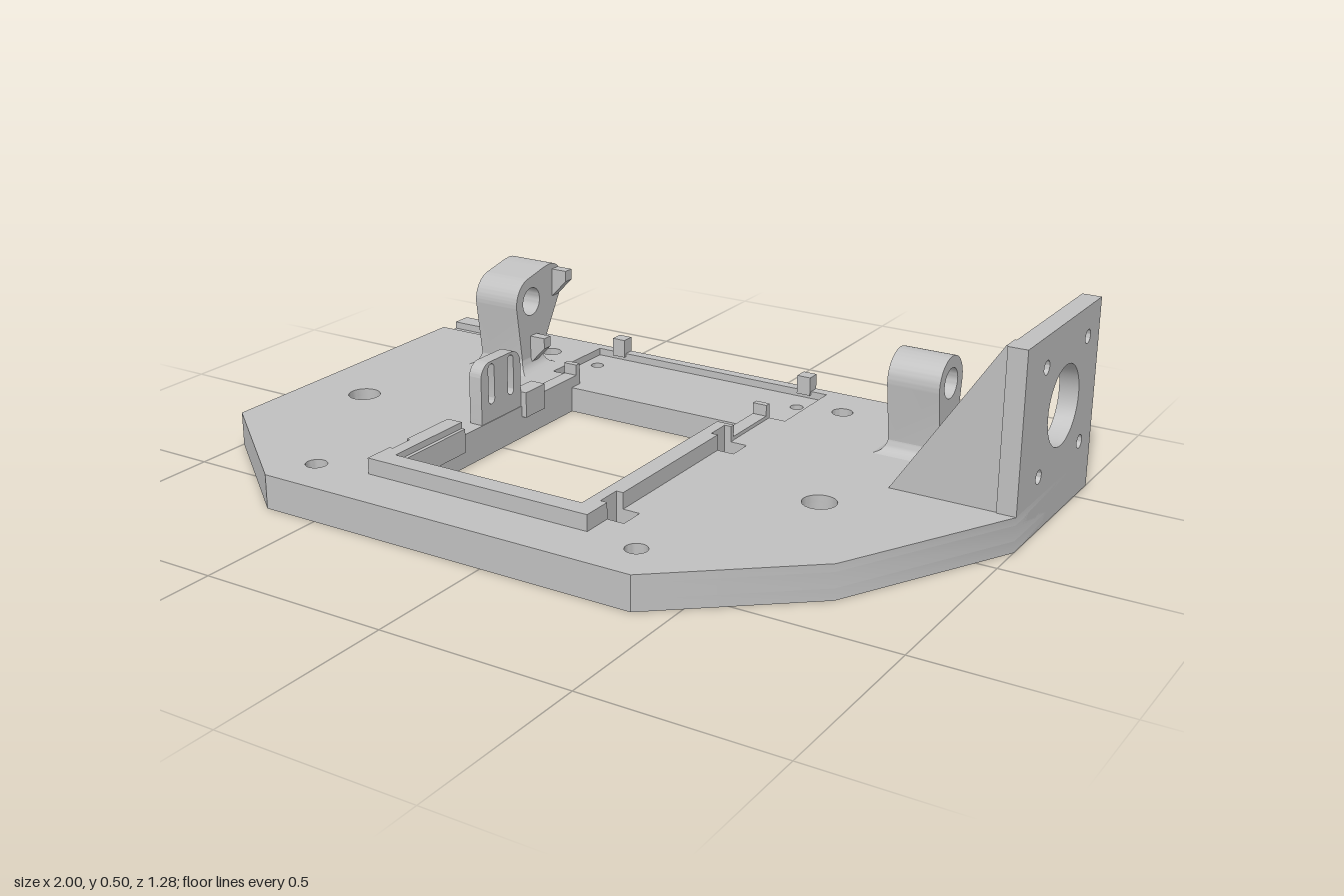
import * as THREE from 'three';
import { toCreasedNormals } from 'three/addons/utils/BufferGeometryUtils.js';

const gray = new THREE.MeshStandardMaterial({ color: 0xc0c0c0 });
gray.name = 'machined gray';

export function createModel() {
  const model = new THREE.Group();
  model.name = 'motorMountPlate';

  const add = (name, geo) => {
    const mesh = new THREE.Mesh(toCreasedNormals(geo, 0.5), gray);
    mesh.name = name;
    model.add(mesh);
  };
  const box = (name, x0, x1, y0, y1, z0, z1) => add(name,
    new THREE.BoxGeometry(x1 - x0, y1 - y0, z1 - z0)
      .translate((x0 + x1) / 2, (y0 + y1) / 2, (z0 + z1) / 2));
  const extrude = (shape, depth) =>
    new THREE.ExtrudeGeometry(shape, { depth, bevelEnabled: false, curveSegments: 20 });

  // Plan paths are given as [x, z] and reversed to run counter-clockwise
  const plan = (pts) => pts.map(([x, z]) => new THREE.Vector2(x, -z)).reverse();
  const rect = (a0, a1, b0, b1) => [[a0, b0], [a1, b0], [a1, b1], [a0, b1]];
  const circle = (x, y, r) => new THREE.Path().absarc(x, y, r, 0, Math.PI * 2, true);
  // Side shapes are drawn in (-z, y)
  const alongX = (name, shape, x0, x1) =>
    add(name, extrude(shape, x1 - x0).rotateY(Math.PI / 2).translate(x0, 0, 0));

  // Base plate in three layers, so that pockets and blind holes have floors
  const rightEdge = [[0.76, -0.45], [1, -0.45], [1, -0.1], [0.76, 0.35],
    [0.41, 0.64], [-0.65, 0.64], [-1, 0.35]];
  const solidOutline = [[-1, -0.64], [0.76, -0.64], ...rightEdge];
  const slottedOutline = [[-1, -0.64], [0.76, -0.64],
    [0.76, -0.585], [0.49, -0.585], [0.49, -0.525], [0.76, -0.525], ...rightEdge,
    [-1, -0.525], [-0.735, -0.525], [-0.735, -0.585], [-1, -0.585]];
  const window = rect(-0.4, 0.16, -0.33, 0.445);
  const windowAndPocket = [[-0.49, -0.61], [0.25, -0.61], [0.25, -0.37], [0.16, -0.37],
    [0.16, 0.445], [-0.4, 0.445], [-0.4, -0.37], [-0.49, -0.37]];
  const bolts = [[-0.818, 0.063, 0.043], [0.573, 0.063, 0.043], [-0.592, 0.518, 0.028],
    [0.348, 0.518, 0.028], [0.348, -0.51, 0.028], [-0.592, -0.51, 0.028]];
  const slotBolts = [[-0.87, -0.555, 0.028], [0.627, -0.555, 0.028]];
  const blind = [[-0.445, -0.528, 0.018], [0.202, -0.528, 0.018]];
  const layer = (name, outline, opening, holes, y0, y1) => {
    const shape = new THREE.Shape(plan(outline));
    shape.holes.push(new THREE.Path(plan(opening)));
    for (const [x, z, r] of holes) shape.holes.push(circle(x, -z, r));
    for (const x of [-0.495, 0.185])
      for (const z of [-0.163, 0.348])
        shape.holes.push(new THREE.Path(plan(rect(x, x + 0.065, z, z + 0.068))));
    add(name, extrude(shape, y1 - y0).rotateX(-Math.PI / 2).translate(0, y0, 0));
  };
  layer('plateBottom', solidOutline, window, [...bolts, ...slotBolts], 0, 0.03);
  layer('plateMiddle', solidOutline, window, [...bolts, ...slotBolts, ...blind], 0.03, 0.07);
  layer('plateTop', slottedOutline, windowAndPocket, bolts, 0.07, 0.09);

  // Raised rim around the window, notched beside the square holes
  const rim = new THREE.Shape(plan([[-0.44, 0.18], [-0.44, 0.348], [-0.43, 0.348],
    [-0.43, 0.416], [-0.44, 0.416], [-0.44, 0.5], [0.204, 0.5], [0.204, 0.416],
    [0.185, 0.416], [0.185, 0.348], [0.204, 0.348], [0.204, -0.095], [0.185, -0.095],
    [0.185, -0.163], [0.204, -0.163], [0.204, -0.177],
    [0.155, -0.177], [0.155, 0.448], [-0.395, 0.448], [-0.395, 0.18]]));
  add('windowRim', extrude(rim, 0.045).rotateX(-Math.PI / 2).translate(0, 0.087, 0));

  // Inner lip of the rim
  box('leftLip', -0.402, -0.385, 0.05, 0.115, 0.18, 0.45);
  box('rightLip', 0.14, 0.162, 0.05, 0.115, -0.177, 0.45);
  box('frontLip', -0.39, 0.15, 0.05, 0.115, 0.434, 0.45);

  // Low side rails, their end stops, and the posts at the back edge
  for (const x of [-0.44, 0.163]) {
    box('lowRail', x, x + 0.04, 0.06, 0.1, -0.37, -0.177);
    box('railStop', x, x + 0.04, 0.08, 0.13, -0.37, -0.352);
    box('backPost', x, x + 0.04, 0.08, 0.132, -0.64, -0.602);
  }
  box('leftRimBlock', -0.43, -0.385, 0.06, 0.131, -0.177, -0.09);

  // Slotted clip tab beside the window
  const tab = new THREE.Shape();
  tab.moveTo(-0.085, 0.08);
  tab.lineTo(0.09, 0.08);
  tab.lineTo(0.09, 0.215);
  tab.absarc(0.05, 0.215, 0.04, 0, Math.PI / 2, false);
  tab.absarc(-0.045, 0.215, 0.04, Math.PI / 2, Math.PI, false);
  for (const u of [-0.04, 0.045]) {
    const slot = new THREE.Path();
    slot.absarc(u, 0.235, 0.013, 0, Math.PI, false);
    slot.absarc(u, 0.15, 0.013, Math.PI, Math.PI * 2, false);
    tab.holes.push(slot);
  }
  alongX('clipTab', tab, -0.44, -0.402);

  // Upright motor plate with bore and four screw holes
  const motor = new THREE.Shape(
    rect(0.1, 0.585, 0, 0.5).map(([u, y]) => new THREE.Vector2(u, y)));
  motor.holes.push(circle(0.367, 0.284, 0.103));
  for (const u of [0.23, 0.505])
    for (const y of [0.146, 0.42]) motor.holes.push(circle(u, y, 0.018));
  alongX('motorPlate', motor, 0.95, 1);

  // Triangular gusset
  const gusset = new THREE.Shape();
  gusset.moveTo(0.67, 0.085);
  gusset.lineTo(0.955, 0.085);
  gusset.lineTo(0.955, 0.5);
  gusset.lineTo(0.945, 0.5);
  add('gusset', extrude(gusset, 0.052).translate(0, 0, -0.156));

  // Right bearing bracket: tapered arch with a bore
  const arch = new THREE.Shape();
  arch.moveTo(0.318, 0.08);
  arch.lineTo(0.416, 0.08);
  arch.lineTo(0.416, 0.13);
  arch.absarc(0.367, 0.285, 0.071, -0.13, Math.PI + 0.13, false);
  arch.lineTo(0.318, 0.13);
  arch.holes.push(circle(0.367, 0.285, 0.04));
  alongX('rightBracket', arch, 0.57, 0.71);

  // Left bearing bracket: narrow foot, wide head leaning back
  const head = new THREE.Shape();
  head.moveTo(0.318, 0.08);
  head.lineTo(0.416, 0.08);
  head.lineTo(0.416, 0.13);
  head.lineTo(0.51, 0.285);
  head.quadraticCurveTo(0.528, 0.315, 0.51, 0.345);
  head.quadraticCurveTo(0.49, 0.375, 0.455, 0.373);
  head.lineTo(0.43, 0.37);
  head.absarc(0.367, 0.285, 0.071, 1.7, Math.PI + 0.13, false);
  head.lineTo(0.318, 0.13);
  head.holes.push(circle(0.367, 0.285, 0.04));
  alongX('leftBracket', head, -0.7, -0.56);

  // Concave flared feet
  const foot = (name, x) => {
    const h = 0.045;
    const geo = new THREE.BoxGeometry(1, h, 1, 1, 6, 1);
    const p = geo.attributes.position;
    for (let i = 0; i < p.count; i++) {
      const t = THREE.MathUtils.clamp(p.getY(i) / h + 0.5, 0, 1);
      const flare = 0.035 * (1 - Math.sqrt(1 - (1 - t) ** 2));
      p.setX(i, p.getX(i) * (0.138 + 2 * flare));
      p.setZ(i, p.getZ(i) * (0.096 + 2 * flare));
    }
    add(name, geo.translate(x, 0.088 + h / 2, -0.367));
  };
  foot('rightFoot', 0.64);
  foot('leftFoot', -0.63);

  // Wedge hooks on the inner face of the left bracket
  for (const [z, top] of [[-0.485, 0.355], [-0.375, 0.185]]) {
    const hook = new THREE.Shape();
    hook.moveTo(-0.565, top);
    hook.lineTo(-0.565, top - 0.085);
    hook.lineTo(-0.513, top - 0.03);
    hook.lineTo(-0.513, top);
    add('hook', extrude(hook, 0.03).translate(0, 0, z - 0.015));
  }
  return model;
}
